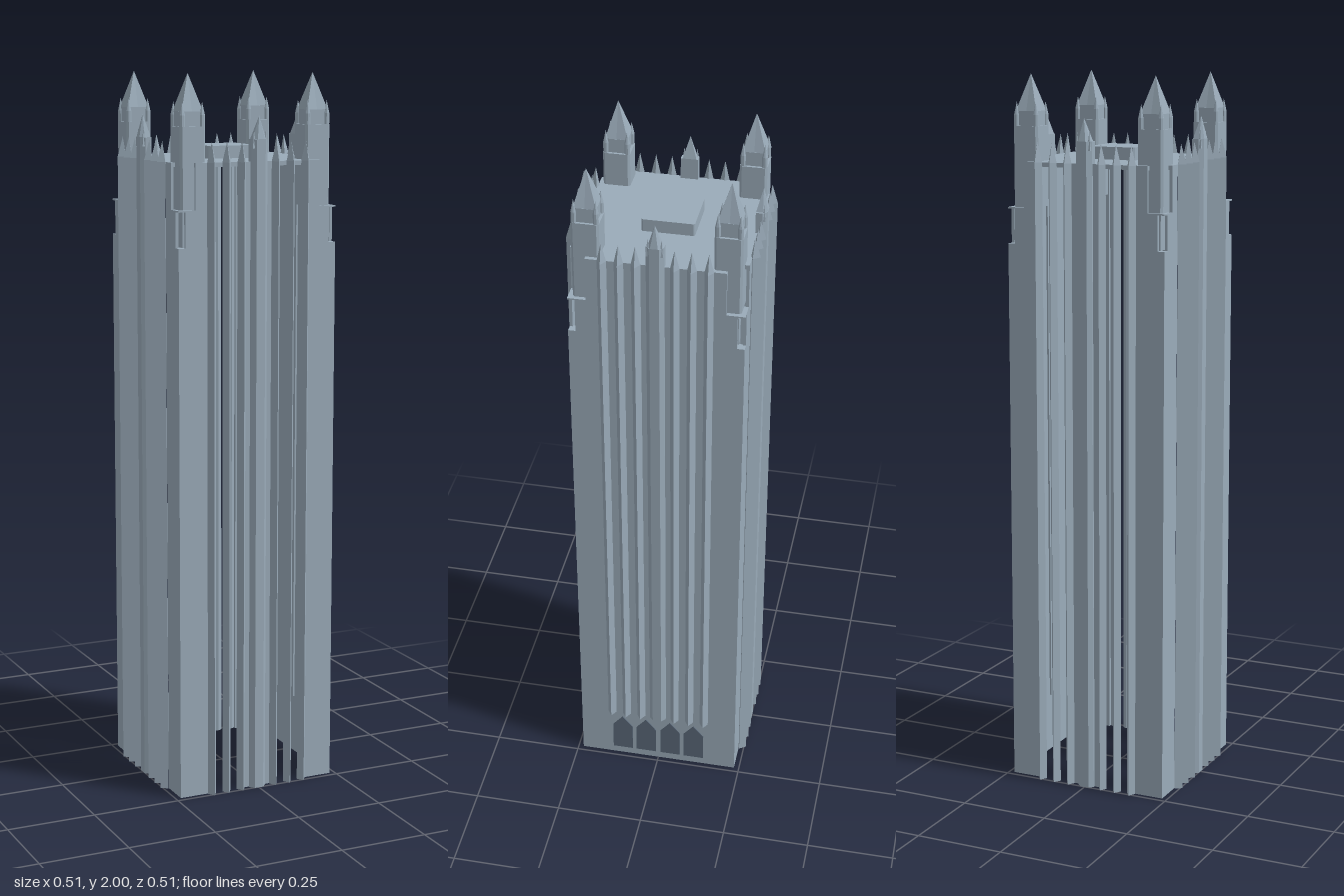
import * as THREE from 'three';

const mat = (name, color) => Object.assign(new THREE.MeshStandardMaterial({ color }), { name });

export function createModel() {
  const stone = mat('stone', 0x9aabb9);
  const opening = mat('dark opening', 0x5a6878);
  const model = new THREE.Group();
  model.name = 'tower';

  function add(parent, name, geometry, material = stone) {
    const m = new THREE.Mesh(geometry, material);
    m.name = name;
    parent.add(m);
    return m;
  }

  // Upright prism over an (x, z) outline; with a tip its top closes to a point
  function prism(points, y0, y1, tip) {
    const shape = new THREE.Shape(points.map(([x, z]) => new THREE.Vector2(x, -z)));
    const g = new THREE.ExtrudeGeometry(shape, { depth: y1 - y0, bevelEnabled: false });
    g.rotateX(-Math.PI / 2).translate(0, y0, 0);
    if (tip) {
      const p = g.attributes.position;
      for (let i = 0; i < p.count; i++) if (p.getY(i) > (y0 + y1) / 2) p.setXYZ(i, tip[0], y1, tip[1]);
      g.computeVertexNormals();
    }
    return g;
  }

  const at = (points, x, z) => points.map(([a, b]) => [a + x, b + z]);
  const square = (h) => [[-h, -h], [h, -h], [h, h], [-h, h]];
  const chamfered = (h, c) => [[-h, -h + c], [-h + c, -h], [h - c, -h], [h, -h + c],
    [h, h - c], [h - c, h], [-h + c, h], [-h, h - c]];

  // Flat panel facing +z, given by its (x, y) outline
  function panel(points, z, depth) {
    const shape = new THREE.Shape(points.map(([x, y]) => new THREE.Vector2(x, y)));
    return new THREE.ExtrudeGeometry(shape, { depth, bevelEnabled: false }).translate(0, 0, z - depth);
  }

  const W = 0.235, ROOF = 1.765;
  const rib = [[-0.0125, 0.237], [0, 0.231], [0.0125, 0.237], [0, 0.256]];
  const buttress = [[-0.024, 0.222], [0.024, 0.222], [0.024, 0.24], [0.013, 0.252], [-0.013, 0.252], [-0.024, 0.24]];

  // Each side is made facing +z and turned; the +x side is the solid entrance wall
  for (let side = 0; side < 4; side++) {
    const entrance = side === 1;
    const wall = new THREE.Group();
    wall.name = entrance ? 'entranceWall' : 'slottedWall';
    wall.rotation.y = side * Math.PI / 2;
    model.add(wall);

    // Corner panels, stepped back near the top
    for (const s of [-1, 1]) {
      const steps = [[0.15, 0], [W, 0], [W, 1.54], [0.215, 1.54], [0.215, 1.64], [0.185, 1.64], [0.185, ROOF], [0.15, ROOF]];
      add(wall, 'cornerPanel', panel(steps.map(([x, y]) => [x * s, y]), W, 0.008));
    }
    const half = entrance ? 0.15 : 0.045;
    add(wall, 'middlePanel', panel([[-half, 0], [half, 0], [half, ROOF], [-half, ROOF]], W, 0.008));

    // Slender ribs with pointed tips
    const foot = entrance ? 0.17 : 0;
    for (const s of [-1, 1]) for (const x of [0.051, 0.0955, 0.14]) {
      const outline = at(rib, x * s, 0);
      add(wall, 'rib', prism(outline, foot, ROOF));
      add(wall, 'ribTip', prism(outline, ROOF, 1.82, [x * s, 0.24]));
    }

    // Central buttress with its pinnacle
    add(wall, 'buttress', prism(buttress, foot, 1.825));
    add(wall, 'buttressTip', prism(buttress.map(([x, z]) => [x * 0.8, z]), 1.825, 1.887, [0, 0.238]));
    for (const s of [-1, 1]) {
      add(wall, 'buttressPinnacle', prism(at(square(0.005), 0.018 * s, 0.243), 1.8, 1.85, [0.018 * s, 0.243]));
    }

    // Pointed doorways
    if (entrance) for (const x of [-0.109, -0.037, 0.037, 0.109]) {
      const door = [[-0.03, 0.025], [0.03, 0.025], [0.03, 0.115], [0, 0.152], [-0.03, 0.115]];
      add(wall, 'doorway', panel(door.map(([a, y]) => [a + x, y]), W + 0.003, 0.004), opening);
    }
  }

  // Roof with cut-out corners and a raised block
  const n = 0.185;
  add(model, 'roof', prism([[-n, -W], [n, -W], [n, -n], [W, -n], [W, n], [n, n],
    [n, W], [-n, W], [-n, n], [-W, n], [-W, -n], [-n, -n]], ROOF - 0.012, ROOF));
  add(model, 'roofBlock', prism(chamfered(0.071, 0.004), ROOF, 1.8));

  // Corner turrets on ledges
  for (const sx of [-1, 1]) for (const sz of [-1, 1]) {
    const turret = new THREE.Group();
    turret.name = 'cornerTurret';
    model.add(turret);
    const c = 0.186;
    add(turret, 'lowerLedge', prism(at(square(0.012), 0.223 * sx, 0.223 * sz), 1.534, 1.54));
    add(turret, 'recess', prism(at(square(0.015), 0.2 * sx, 0.2 * sz), 1.54, 1.64));
    add(turret, 'upperLedge', prism(at(square(0.025), 0.21 * sx, 0.21 * sz), 1.636, 1.64));
    add(turret, 'turretShaft', prism(at(chamfered(0.037, 0.006), c * sx, c * sz), 1.64, 1.86));
    add(turret, 'turretCrown', prism(at(square(0.03), c * sx, c * sz), 1.86, 1.9));
    const star = [[-1, -1], [0, -0.93], [1, -1], [0.93, 0], [1, 1], [0, 0.93], [-1, 1], [-0.93, 0]];
    add(turret, 'spire', prism(at(star.map(([x, z]) => [x * 0.031, z * 0.031]), c * sx, c * sz), 1.9, 2, [c * sx, c * sz]));
    for (const px of [-1, 1]) for (const pz of [-1, 1]) {
      const x = c * sx + 0.029 * px, z = c * sz + 0.029 * pz;
      add(turret, 'turretPinnacle', prism(at(chamfered(0.007, 0.004), x, z), 1.86, 1.89));
      add(turret, 'turretPinnacleTip', prism(at(chamfered(0.007, 0.004), x, z), 1.89, 1.925, [x, z]));
    }
  }
  return model;
}
